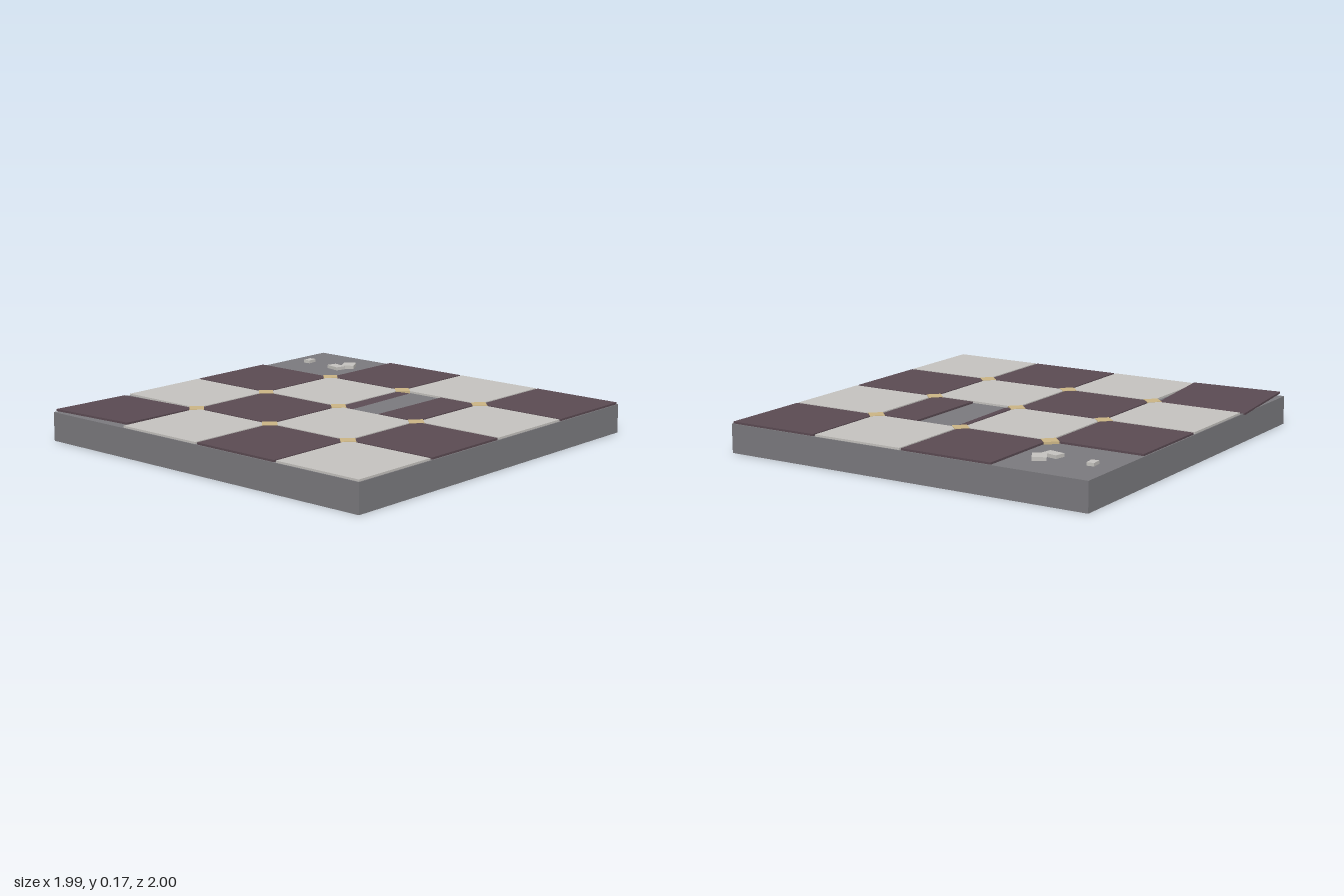
import * as THREE from 'three';

const SIZE = 1.99, CELL = SIZE / 4, TILE = 0.486, THICK = 0.01;
const SLAB_TOP = 0.146, TILE_Y = SLAB_TOP + THICK / 2;

const mat = (color) => new THREE.MeshStandardMaterial({ color });

export function createModel() {
  const model = new THREE.Group();
  const stone = mat(0x7a797d), light = mat(0xc4c2be), dark = mat(0x5a4a52), brass = mat(0xcab484);

  function box(name, material, size, pos, rot = [0, 0, 0]) {
    const mesh = new THREE.Mesh(new THREE.BoxGeometry(...size), material);
    mesh.name = name;
    mesh.position.set(...pos);
    mesh.rotation.set(rot[0], rot[1], rot[2], 'YXZ');
    model.add(mesh);
    return mesh;
  }

  // The floor sits slightly forward because the loose tile overhangs at the back
  const z0 = 0.004;
  box('slab', stone, [SIZE, SLAB_TOP, SIZE], [0, SLAB_TOP / 2, z0]);

  // Checkerboard of tiles: one loose, one missing, one broken
  for (let row = 0; row < 4; row++) {
    for (let col = 0; col < 4; col++) {
      const x = (col - 1.5) * CELL, z = (row - 1.5) * CELL + z0;
      const isDark = (row + col) % 2 === 0;
      const key = `${row}${col}`;
      if (key === '00' || key === '03' || key === '22') continue;
      box(isDark ? 'darkTile' : 'lightTile', isDark ? dark : light, [TILE, THICK, TILE], [x, TILE_Y, z]);
    }
  }

  // Loose corner tile, turned and lifted on its outer side
  box('looseTile', dark, [0.482, THICK, 0.478], [-0.741, 0.153, -0.744], [0, 0.07, -0.033]);

  // Broken tile: flat front half, and a back half sinking into the bed
  box('brokenTileFront', dark, [TILE, THICK, 0.23], [CELL / 2, TILE_Y, 0.378]);
  box('brokenTileBack', dark, [TILE, THICK, 0.23], [CELL / 2, 0.1305, 0.122], [0.18, 0.012, -0.004]);

  // Diamond inlays at the tile corners
  for (const i of [-1, 0, 1]) {
    for (const j of [-1, 0, 1]) {
      box('diamondInlay', brass, [0.073, 0.012, 0.073], [i * CELL, SLAB_TOP + 0.006, j * CELL + z0], [0, Math.PI / 4, 0]);
    }
  }

  // Rubble left where a tile is missing: width, depth, x, z, turn
  const rubble = [
    [0.055, 0.038, 0.747, -0.868, 0.1],
    [0.056, 0.085, 0.713, -0.643, -0.2],
    [0.085, 0.067, 0.784, -0.613, 0.55],
  ];
  rubble.forEach(([w, d, x, z, turn], i) => {
    const h = 0.016 + i * 0.001;
    box('rubble', light, [w, h, d], [x, SLAB_TOP + h / 2, z], [0, turn, 0]);
  });

  return model;
}
